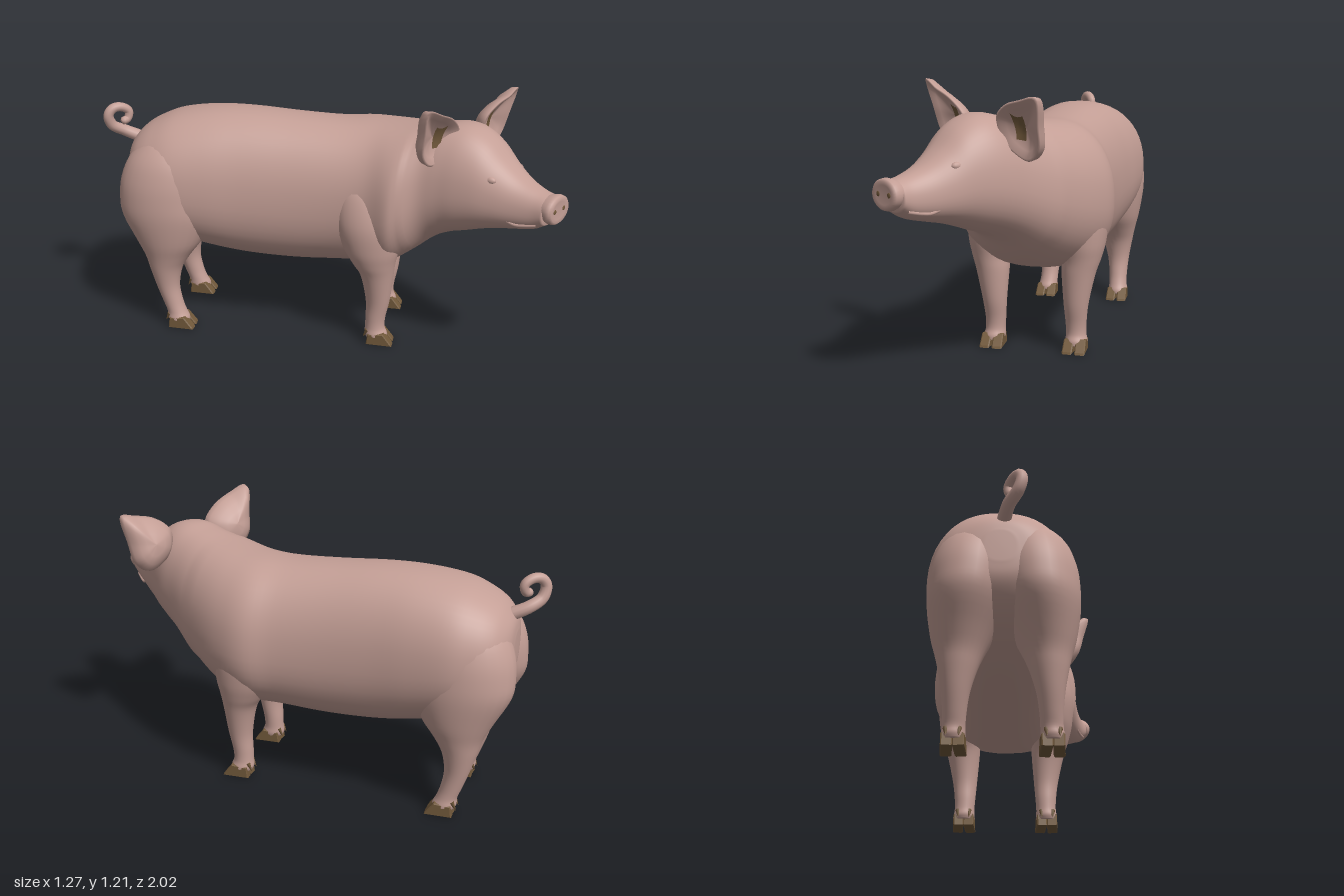
import * as THREE from 'three';

const mat = (name, color, double) => {
  const m = new THREE.MeshStandardMaterial({ color });
  m.name = name;
  if (double) m.side = THREE.DoubleSide;
  return m;
};

// Closed smooth skin over a list of equal-length rings of Vector3
function skin(rings) {
  const n = rings[0].length, pos = [], idx = [];
  rings.forEach(r => r.forEach(p => pos.push(p.x, p.y, p.z)));
  for (let i = 0; i < rings.length - 1; i++)
    for (let j = 0; j < n; j++) {
      const a = i * n + j, b = i * n + (j + 1) % n;
      idx.push(a, b, a + n, b, b + n, a + n);
    }
  [0, rings.length - 1].forEach(i => {
    const c = rings[i].reduce((s, p) => s.add(p), new THREE.Vector3()).divideScalar(n);
    const k = pos.length / 3;
    pos.push(c.x, c.y, c.z);
    for (let j = 0; j < n; j++) {
      const a = i * n + j, b = i * n + (j + 1) % n;
      i ? idx.push(a, b, k) : idx.push(b, a, k);
    }
  });
  // Turn the faces outward if the rings ran the other way
  const at = i => new THREE.Vector3().fromArray(pos, i * 3);
  let volume = 0;
  for (let i = 0; i < idx.length; i += 3) volume += at(idx[i]).dot(at(idx[i + 1]).cross(at(idx[i + 2])));
  if (volume < 0) idx.reverse();
  const g = new THREE.BufferGeometry();
  g.setAttribute('position', new THREE.Float32BufferAttribute(pos, 3));
  g.setIndex(idx);
  g.computeVertexNormals();
  return g;
}

// Smoothly resample rows of six numbers
function resample(rows, steps) {
  const curve = o => new THREE.CatmullRomCurve3(rows.map(r => new THREE.Vector3(r[o], r[o + 1], r[o + 2])), false, 'catmullrom');
  const a = curve(0), b = curve(3);
  return Array.from({ length: steps + 1 }, (_, i) =>
    [...a.getPoint(i / steps).toArray(), ...b.getPoint(i / steps).toArray()]);
}

const bent = (v, e) => Math.sign(v) * Math.abs(v) ** e;
const around = (n, fn) => Array.from({ length: n }, (_, j) => fn(j / n * Math.PI * 2));

export function createModel() {
  const pig = new THREE.Group();
  pig.name = 'pig';
  const pink = mat('skin pink', 0xc49f96), brown = mat('hoof brown', 0x735a3c, true);
  const add = (parent, name, geo, m) => {
    const mesh = new THREE.Mesh(geo, m);
    mesh.name = name;
    parent.add(mesh);
    return mesh;
  };

  // Torso, neck and head: x, z, heading, half width, top, bottom
  const turn = 0.558;
  const trunk = [[-1.0, .06, .82, .69], [-.99, .13, .87, .63], [-.965, .19, .91, .58], [-.925, .235, .95, .53], [-.86, .272, .988, .48],
    [-.76, .298, 1.025, .43], [-.6, .294, 1.048, .385], [-.42, .28, 1.05, .355], [-.2, .276, 1.035, .345],
    [0, .288, 1.025, .355], [.14, .314, 1.03, .365]]
    .map(([f, w, t, b]) => [.53 * f + .098, .848 * f - .0615, turn, w, t, b]);
  const front = [[.198, .175, .5, .32, 1.037, .385], [.217, .3, .28, .278, 1.05, .455], [.24, .41, .09, .228, 1.07, .54],
    [.252, .5, 0, .208, 1.088, .585], [.257, .58, 0, .19, 1.08, .612], [.26, .66, 0, .165, 1.038, .64],
    [.264, .74, 0, .136, .962, .663], [.265, .82, 0, .108, .905, .68], [.265, .9, 0, .086, .872, .7], [.265, .96, 0, .078, .857, .735]];
  const bodyRings = resample([...trunk, ...front], 100).map(([x, z, h, w, top, bottom]) => {
    const flare = z > .3 ? .1 : .05;
    return around(48, a => {
      const s = bent(Math.sin(a), .9), side = w * bent(Math.cos(a), .84) * (1 - flare * s);
      return new THREE.Vector3(x + side * Math.cos(h), (top + bottom) / 2 + s * (top - bottom) / 2, z - side * Math.sin(h));
    });
  });
  add(pig, 'bodyAndHead', skin(bodyRings), pink);

  // Legs stand in the turned frame of the torso: y, z, offset, radius x, radius z
  const stance = new THREE.Group();
  stance.name = 'legs';
  stance.rotation.y = turn;
  pig.add(stance);
  const legs = {
    frontLeg: { foot: .2, middle: .09, rows: [[.84, .14, .17, .06, .08], [.75, .145, .19, .095, .13], [.62, .16, .203, .115, .152], [.5, .172, .21, .102, .13], [.42, .185, .207, .087, .1],
      [.35, .2, .197, .075, .076], [.22, .204, .188, .056, .056], [.13, .194, .186, .047, .047], [.08, .192, .187, .045, .046], [.05, .196, .189, .049, .053], [.03, .2, .19, .046, .05]] },
    hindLeg: { foot: -.762, middle: .1, rows: [[.95, -.77, .09, .05, .08], [.91, -.775, .105, .11, .135], [.84, -.785, .12, .148, .19], [.75, -.795, .132, .164, .218], [.66, -.8, .14, .166, .225],
      [.57, -.798, .15, .155, .218], [.45, -.795, .165, .122, .158], [.37, -.805, .172, .095, .108], [.3, -.815, .177, .075, .077], [.21, -.81, .182, .055, .055],
      [.13, -.79, .185, .046, .047], [.08, -.773, .187, .045, .046], [.05, -.765, .19, .048, .053], [.03, -.76, .19, .046, .05]] },
  };
  const toeShape = new THREE.Shape([[-.052, 0], [.07, 0], [.066, .01], [.028, .06], [-.045, .054]].map(p => new THREE.Vector2(...p)));
  const toeGeo = new THREE.ExtrudeGeometry(toeShape, { depth: .036, bevelEnabled: true, bevelSize: .004, bevelThickness: .005, bevelOffset: -.004, bevelSegments: 1 });
  toeGeo.translate(0, 0, -.018).rotateY(-Math.PI / 2);
  for (const [name, { foot, middle, rows }] of Object.entries(legs))
    for (const s of [-1, 1]) {
      const leg = new THREE.Group();
      leg.name = (s > 0 ? 'left ' : 'right ') + name;
      stance.add(leg);
      const rings = resample(rows.map(r => [...r, 0]), 52).map(([y, z, off, rx, rz]) =>
        around(28, a => new THREE.Vector3(middle + s * off + rx * Math.cos(a), y, z + rz * Math.sin(a))));
      add(leg, 'limb', skin(rings), pink);
      for (const t of [-1, 1]) {
        const toe = add(leg, 'hoof', toeGeo, brown);
        toe.position.set(middle + s * .19 + t * .025, 0, foot + .008);
        toe.rotation.y = t * .06;
        const claw = add(leg, 'dewclaw', new THREE.ConeGeometry(.012, .045, 7), brown);
        claw.position.set(middle + s * .19 + t * .025, .05, foot - .05);
        claw.rotation.x = Math.PI + .5;
      }
    }

  // Cupped ears: the outline shrinks to the middle on the front and again on the back
  const outline = new THREE.CatmullRomCurve3([[.339, 1.19], [.255, 1.168], [.165, 1.135], [.1, 1.075], [.11, .99], [.17, .94],
    [.25, .923], [.308, .978], [.326, 1.07]].map(([x, y]) => new THREE.Vector3(x, y, 0)), true).getPoints(48).slice(0, 48);
  const earPoint = (x, y, k, back, s) => new THREE.Vector3(.285 + s * x, y - s * .1 * (x - .12),
    .474 + .28 * (y - 1.05) + .06 * k * k - .25 * Math.max(0, x - .25) - back);
  for (const s of [-1, 1]) {
    const ear = new THREE.Group();
    ear.name = s > 0 ? 'left ear' : 'right ear';
    pig.add(ear);
    const layer = (k, back) => outline.map(p => earPoint(.22 + (p.x - .22) * k, 1.05 + (p.y - 1.05) * k, k, back, s));
    add(ear, 'earFlap', skin([layer(.05, 0), layer(.4, 0), layer(.7, 0), layer(.92, 0), layer(1, .012),
      layer(.96, .038), layer(.7, .046), layer(.4, .044), layer(.05, .042)]), pink);
    // Dark hair patch inside the ear
    const patch = new THREE.PlaneGeometry(.05, .125, 4, 6), p = patch.attributes.position;
    for (let i = 0; i < p.count; i++) {
      const x = .195 + p.getX(i) * (1 + 2.5 * p.getY(i)), y = 1.06 + p.getY(i);
      const q = earPoint(x, y, Math.min(1, Math.hypot((x - .22) / .1, (y - 1.05) / .13)), -.004, s);
      p.setXYZ(i, q.x, q.y, q.z);
    }
    patch.computeVertexNormals();
    add(ear, 'innerEarPatch', patch, brown);
    // Eyelid
    const lid = add(pig, 'eyelid', new THREE.SphereGeometry(.026, 16, 10), pink);
    lid.position.set(.263 + s * .107, .9, .715);
    lid.scale.set(.7, .7, 1.2);
    // Lip fold
    const lip = new THREE.CatmullRomCurve3([[.1, .735, .8], [.093, .724, .84], [.082, .727, .88], [.068, .737, .93]]
      .map(([x, y, z]) => new THREE.Vector3(.265 + s * x, y, z)));
    add(pig, 'lipFold', new THREE.TubeGeometry(lip, 12, .007, 6), pink);
    // Nostril
    const nostril = add(pig, 'nostril', new THREE.SphereGeometry(.012, 14, 8), brown);
    nostril.position.set(.265 + s * .035, .805, .995);
    nostril.scale.set(.9, .9, .2);
  }

  // Snout disc with a rounded rim
  const profile = [[0, .05], [.05, .05], [.068, .054], [.08, .045], [.083, .028], [.076, .01], [.07, -.02]];
  const disc = new THREE.LatheGeometry(profile.map(p => new THREE.Vector2(...p)).reverse(), 32);
  disc.rotateX(Math.PI / 2).scale(1, .78, 1).translate(.265, .803, .945);
  add(pig, 'snout', disc, pink);

  // Curled tail, tapering to the tip
  const curl = new THREE.CatmullRomCurve3([[-.41, .88, -.86], [-.475, .92, -.92], [-.53, .955, -.94], [-.548, 1.005, -.94], [-.53, 1.035, -.93],
    [-.495, 1.04, -.915], [-.46, 1.015, -.9], [-.47, .98, -.9], [-.505, .975, -.9]].map(p => new THREE.Vector3(...p)));
  const frames = curl.computeFrenetFrames(48);
  const tailRings = Array.from({ length: 49 }, (_, i) => {
    const c = curl.getPointAt(i / 48), r = i === 48 ? .008 : .03 - .012 * i / 48;
    return around(12, a => c.clone().addScaledVector(frames.normals[i], r * Math.cos(a)).addScaledVector(frames.binormals[i], r * Math.sin(a)));
  });
  add(pig, 'tail', skin(tailRings), pink);
  return pig;
}
